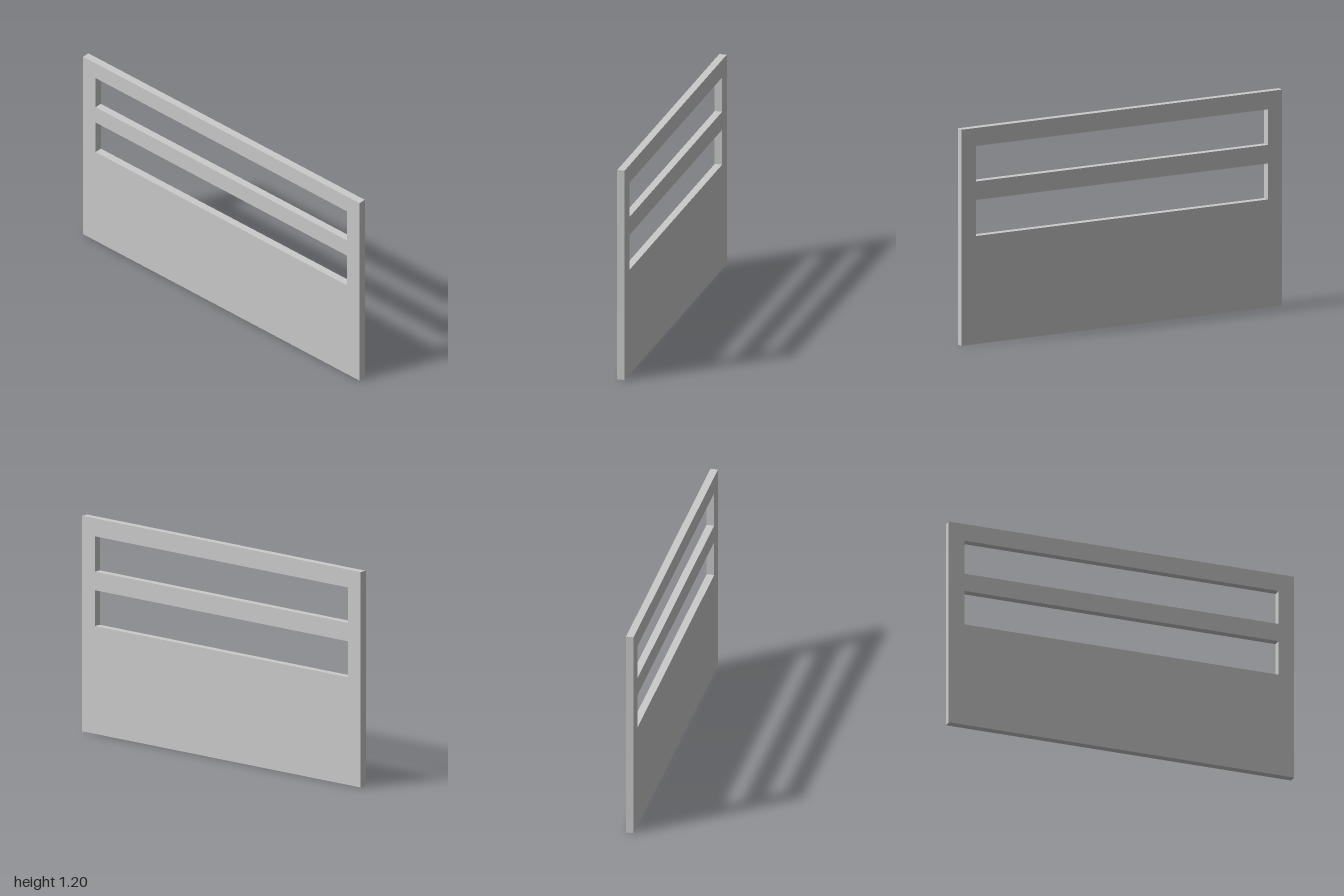
import * as THREE from 'three';

const HALF_WIDTH = 1, HEIGHT = 1.2, DEPTH = 0.042;
const SLOT_HALF_WIDTH = 0.91;
const SLOTS = [[0.6, 0.8], [0.903, 1.1]]; // bottom and top of each slot

// Trace a rectangle centred on x = 0
function traceRect(path, halfWidth, bottom, top) {
  path.moveTo(-halfWidth, bottom);
  path.lineTo(halfWidth, bottom);
  path.lineTo(halfWidth, top);
  path.lineTo(-halfWidth, top);
  path.closePath();
  return path;
}

export function createModel() {
  const group = new THREE.Group();
  group.name = 'slottedPanel';

  // Solid lower board, side stiles and rails as one slab with two long slots
  const outline = traceRect(new THREE.Shape(), HALF_WIDTH, 0, HEIGHT);
  for (const [bottom, top] of SLOTS) {
    outline.holes.push(traceRect(new THREE.Path(), SLOT_HALF_WIDTH, bottom, top));
  }
  const geometry = new THREE.ExtrudeGeometry(outline, { depth: DEPTH, bevelEnabled: false });
  geometry.translate(0, 0, -DEPTH / 2);

  const panel = new THREE.Mesh(geometry, new THREE.MeshStandardMaterial({ color: 0xcccccc }));
  panel.name = 'panel';
  group.add(panel);
  return group;
}
